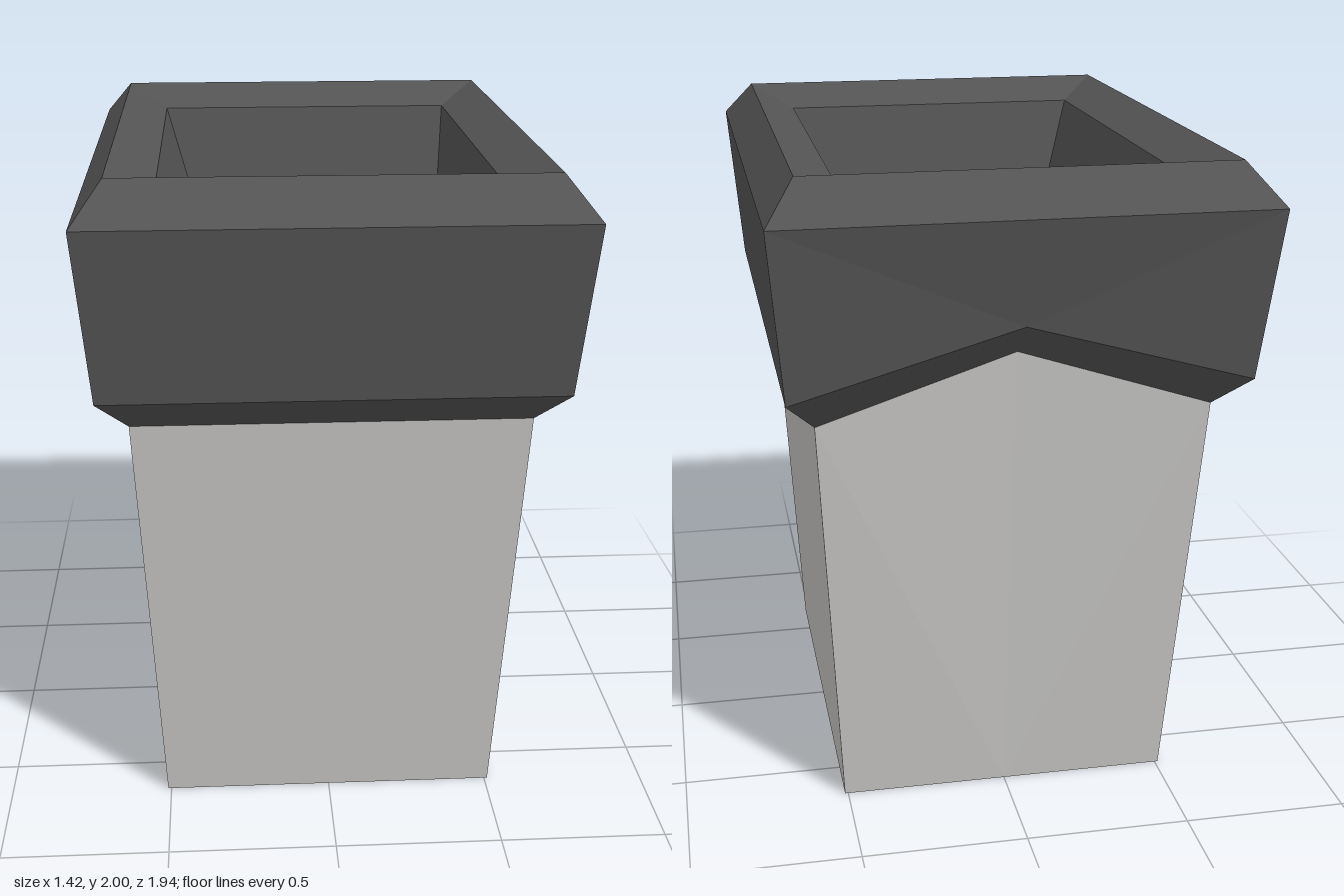
import * as THREE from 'three';

// Rectangular ring of eight points (corners and side middles), counter-clockwise from above.
// dip lowers the middle of the -x side and raises the middle of the -z side.
function ring(hx, hz, y, dip = 0, cx = 0) {
  return [
    [hx, y, hz], [hx, y, 0], [hx, y, -hz], [0, y + dip, -hz],
    [-hx, y, -hz], [-hx, y - dip, 0], [-hx, y, hz], [0, y, hz],
  ].map(([x, h, z]) => new THREE.Vector3(x + cx, h, z));
}

// Skin a list of rings with flat faces, optionally closing the first or last ring.
function loft(rings, { capStart = false, capEnd = false } = {}) {
  const pts = [];
  for (let r = 0; r < rings.length - 1; r++) {
    const lo = rings[r], up = rings[r + 1];
    for (let i = 0; i < 8; i++) {
      const j = (i + 1) % 8;
      if (i % 2) pts.push(lo[i], lo[j], up[j], lo[i], up[j], up[i]);
      else pts.push(lo[i], lo[j], up[i], lo[j], up[j], up[i]);
    }
  }
  const cap = (loop, down) => {
    for (let i = 1; i < 7; i++) {
      if (down) pts.push(loop[0], loop[i + 1], loop[i]);
      else pts.push(loop[0], loop[i], loop[i + 1]);
    }
  };
  if (capStart) cap(rings[0], true);
  if (capEnd) cap(rings[rings.length - 1], false);
  const geometry = new THREE.BufferGeometry().setFromPoints(pts);
  geometry.computeVertexNormals();
  return geometry;
}

export function createModel() {
  const paleStone = new THREE.MeshStandardMaterial({ color: 0xc6c5c3 });
  paleStone.name = 'paleStone';
  const darkGrey = new THREE.MeshStandardMaterial({ color: 0x545454 });
  darkGrey.name = 'darkGrey';

  const group = new THREE.Group();
  group.name = 'planter';
  const dip = 0.19;

  // Tapered body, closed underneath
  const body = new THREE.Mesh(
    loft([ring(0.51, 0.655, 0), ring(0.58, 0.785, 1.275, dip)], { capStart: true }),
    paleStone,
  );
  body.name = 'body';

  // Collar: underside, flared sides and outer bevel
  const collar = new THREE.Mesh(
    loft([
      ring(0.58, 0.785, 1.275, dip),
      ring(0.667, 0.9, 1.38, dip),
      ring(0.71, 0.972, 1.885),
      ring(0.62, 0.85, 2),
    ]),
    darkGrey,
  );
  collar.name = 'collar';

  // Inner lip and sunken well with an off-centre floor
  const well = new THREE.Mesh(
    loft([
      ring(0.62, 0.85, 2),
      ring(0.488, 0.67, 1.937),
      ring(0.357, 0.492, 1.2, 0, 0.082),
    ], { capEnd: true }),
    darkGrey,
  );
  well.name = 'well';

  group.add(body, collar, well);
  return group;
}
